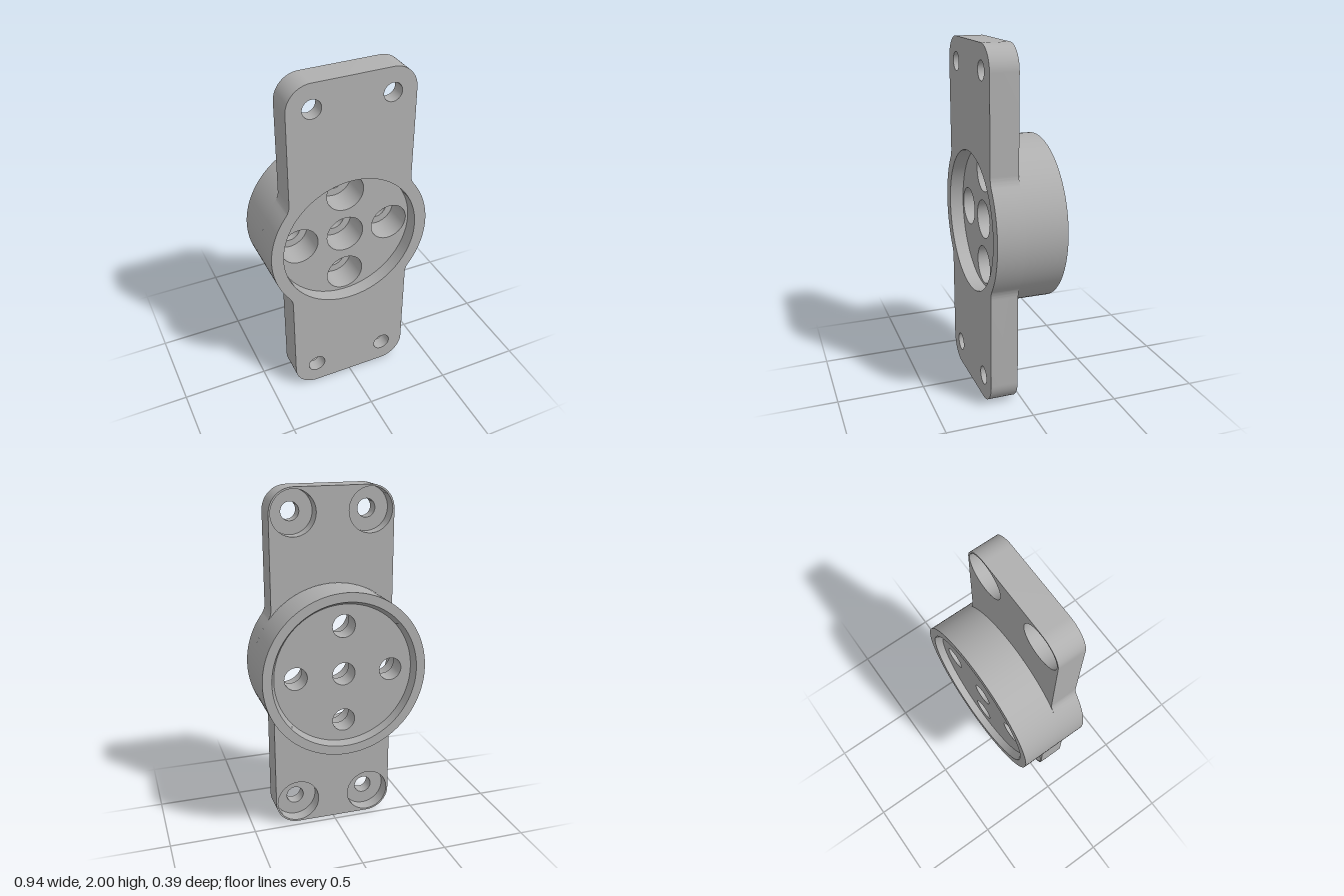
import * as THREE from 'three';
import { toCreasedNormals } from 'three/addons/utils/BufferGeometryUtils.js';

const HALF_W = 0.357, CORNER = 0.137, BOSS_R = 0.47, FILLET = 0.1;
const FRONT = 0.197, PLATE_BACK = 0.04, BACK = -0.197;
const FRONT_FLOOR = 0.117, BORE_FLOOR = -0.04, BACK_FLOOR = -0.157, SCREW_FLOOR = 0.12;
const BOSS_HOLES = [[0, 0], [0.275, 0], [-0.275, 0], [0, 0.275], [0, -0.275]];
const TOP_SCREWS = [[0.22, 0.863], [-0.22, 0.863]];
const SCREWS = [...TOP_SCREWS, ...TOP_SCREWS.map(([x, y]) => [x, -y])];

const arc = (cx, cy, r, a0, a1, n = 16) => Array.from({ length: n + 1 }, (_, i) => {
  const a = a0 + (a1 - a0) * i / n;
  return new THREE.Vector2(cx + r * Math.cos(a), cy + r * Math.sin(a));
});

// Flat face with round holes; toBack turns it to face -z (all outlines are symmetric in x)
function face(points, holes, holeR, z, toBack = false) {
  const shape = new THREE.Shape(points);
  for (const [x, y] of holes) {
    shape.holes.push(new THREE.Path(arc(x, y, holeR, 0, -Math.PI * 2, 48).slice(0, -1)));
  }
  const g = new THREE.ShapeGeometry(shape);
  if (toBack) g.rotateY(Math.PI);
  return g.translate(0, 0, z);
}

// Open round wall along z, optionally facing its own axis
function roundWall(rBack, rFront, zBack, zFront, x = 0, y = 0, inward = false) {
  const g = new THREE.CylinderGeometry(rFront, rBack, zFront - zBack, rBack > 0.2 ? 96 : 48, 1, true);
  g.rotateX(Math.PI / 2);
  if (inward) {
    g.scale(-1, 1, 1);
    const index = g.index.array;
    for (let i = 0; i < index.length; i += 3) [index[i + 1], index[i + 2]] = [index[i + 2], index[i + 1]];
    const n = g.attributes.normal;
    // the mirrored cylinder is turned inside out exactly once
    for (let i = 0; i < n.count; i++) {
      const px = g.attributes.position.getX(i), py = g.attributes.position.getY(i);
      const l = Math.hypot(px, py);
      n.setXYZ(i, -px / l, -py / l, 0);
    }
    orient(g);
  }
  return g.translate(x, y, (zBack + zFront) / 2);
}

// Make every triangle wind the way its normals point
function orient(g) {
  const p = g.attributes.position, n = g.attributes.normal, idx = g.index.array;
  const [a, b, c, m] = [0, 1, 2, 3].map(() => new THREE.Vector3());
  for (let i = 0; i < idx.length; i += 3) {
    a.fromBufferAttribute(p, idx[i]);
    b.fromBufferAttribute(p, idx[i + 1]).sub(a);
    c.fromBufferAttribute(p, idx[i + 2]).sub(a);
    m.fromBufferAttribute(n, idx[i]);
    if (b.cross(c).dot(m) < 0) [idx[i + 1], idx[i + 2]] = [idx[i + 2], idx[i + 1]];
  }
}

// Wall swept along z from a closed counter-clockwise outline
function outlineWall(points, z0, z1) {
  const pos = [], idx = [], n = points.length;
  points.forEach((p, i) => {
    pos.push(p.x, p.y, z0, p.x, p.y, z1);
    const a = 2 * i, b = 2 * ((i + 1) % n);
    idx.push(a, b, b + 1, a, b + 1, a + 1);
  });
  const g = new THREE.BufferGeometry();
  g.setAttribute('position', new THREE.Float32BufferAttribute(pos, 3));
  g.setIndex(idx);
  return toCreasedNormals(g, 0.5);
}

export function createModel() {
  const grey = new THREE.MeshStandardMaterial({ color: 0xb0b0b0 });
  grey.name = 'grey';
  const model = new THREE.Group();
  model.name = 'mountingBracket';
  const group = (name) => {
    const g = new THREE.Group();
    g.name = name;
    model.add(g);
    return g;
  };
  const add = (parent, name, geometry) => {
    const mesh = new THREE.Mesh(geometry, grey);
    mesh.name = name;
    parent.add(mesh);
    return mesh;
  };
  const PI = Math.PI;

  // Plate outline: round middle blending into two arms with rounded corners
  const fx = HALF_W + FILLET;
  const fy = Math.sqrt((BOSS_R + FILLET) ** 2 - fx ** 2);
  const theta = Math.atan2(fy, fx);
  const arm = [
    ...arc(fx, fy, FILLET, PI + theta, PI),
    ...arc(HALF_W - CORNER, 1 - CORNER, CORNER, 0, PI / 2),
    ...arc(CORNER - HALF_W, 1 - CORNER, CORNER, PI / 2, PI),
    ...arc(-fx, fy, FILLET, 0, -theta),
  ];
  const half = [...arc(0, 0, BOSS_R, -theta, theta, 32).slice(1, -1), ...arm];
  const outline = [...half, ...half.map((p) => new THREE.Vector2(-p.x, -p.y))];

  // Plate
  const plate = group('plate');
  add(plate, 'plateEdge', outlineWall(outline, PLATE_BACK, FRONT));
  const frontShape = new THREE.Shape(outline);
  for (const [x, y, r] of [...SCREWS.map(([x, y]) => [x, y, 0.052]), [0, 0, 0.4]]) {
    frontShape.holes.push(new THREE.Path(arc(x, y, r, 0, -2 * PI, r > 0.2 ? 96 : 48).slice(0, -1)));
  }
  add(plate, 'plateFront', new THREE.ShapeGeometry(frontShape).translate(0, 0, FRONT));
  const armBack = [...arm, ...arc(0, 0, BOSS_R, PI - theta, theta, 48).slice(1, -1)];
  for (const [name, turn] of [['upperArmBack', 0], ['lowerArmBack', PI]]) {
    add(plate, name, face(armBack, TOP_SCREWS, 0.127, PLATE_BACK, true)).rotation.z = turn;
  }

  // Corner screw holes, counterbored from behind
  const screws = group('screwHoles');
  for (const [x, y] of SCREWS) {
    add(screws, 'screwHole', roundWall(0.052, 0.052, SCREW_FLOOR, FRONT, x, y, true));
    add(screws, 'screwCounterbore', roundWall(0.127, 0.127, PLATE_BACK, SCREW_FLOOR, x, y, true));
    add(screws, 'screwSeat',
      new THREE.RingGeometry(0.052, 0.127, 48).rotateY(PI).translate(x, y, SCREW_FLOOR));
  }

  // Round boss with a recess on both ends
  const circle = (r) => arc(0, 0, r, 0, 2 * PI, 96).slice(0, -1);
  const boss = group('boss');
  add(boss, 'bossSide', roundWall(BOSS_R, BOSS_R, BACK, PLATE_BACK));
  add(boss, 'bossRim', new THREE.RingGeometry(0.418, BOSS_R, 96).rotateY(PI).translate(0, 0, BACK));
  add(boss, 'backRecessWall', roundWall(0.418, 0.398, BACK, BACK_FLOOR, 0, 0, true));
  add(boss, 'backRecessFloor', face(circle(0.398), BOSS_HOLES, 0.065, BACK_FLOOR, true));
  add(boss, 'frontRecessWall', roundWall(0.4, 0.4, FRONT_FLOOR, FRONT, 0, 0, true));
  add(boss, 'frontRecessFloor', face(circle(0.4), BOSS_HOLES, 0.11, FRONT_FLOOR));

  // Five boss holes, counterbored from the front
  const bores = group('bossHoles');
  for (const [x, y] of BOSS_HOLES) {
    add(bores, 'bossHole', roundWall(0.065, 0.065, BACK_FLOOR, BORE_FLOOR, x, y, true));
    add(bores, 'bossCounterbore', roundWall(0.11, 0.11, BORE_FLOOR, FRONT_FLOOR, x, y, true));
    add(bores, 'bossSeat', new THREE.RingGeometry(0.065, 0.11, 48).translate(x, y, BORE_FLOOR));
  }

  model.children.forEach((part) => { part.position.y = 1; });
  return model;
}
